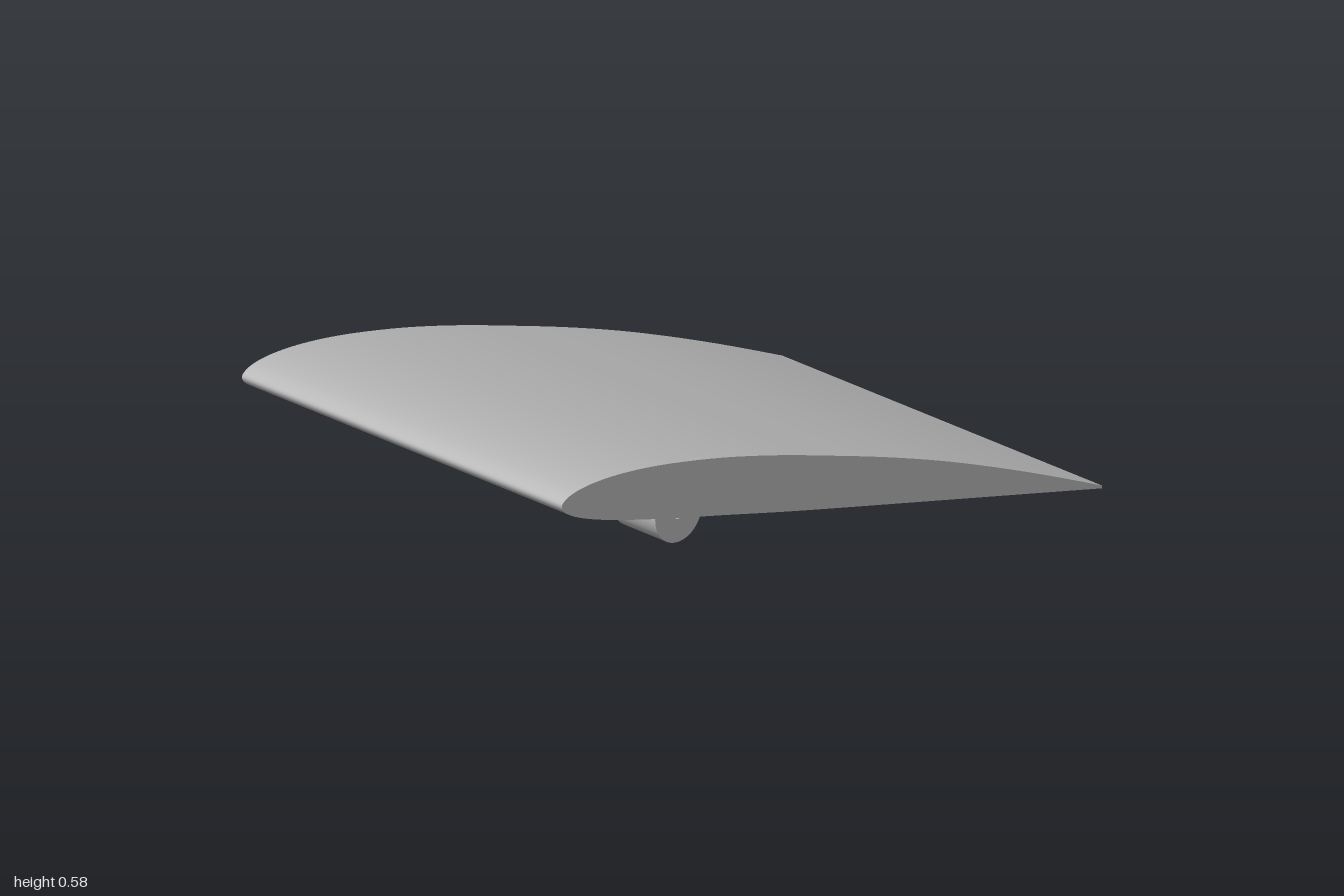
import * as THREE from 'three';
import { toCreasedNormals } from 'three/addons/utils/BufferGeometryUtils.js';

const grey = new THREE.MeshStandardMaterial({ color: 0xb8b8b8 });
grey.name = 'grey';

// Extrudes a shape in the front plane from z0 to z1
function slab(name, shape, z0, z1) {
  const geometry = new THREE.ExtrudeGeometry(shape, { depth: z1 - z0, bevelEnabled: false, curveSegments: 32 });
  geometry.translate(0, 0, z0);
  const mesh = new THREE.Mesh(toCreasedNormals(geometry, 0.6), grey);
  mesh.name = name;
  return mesh;
}

export function createModel() {
  const group = new THREE.Group();
  group.name = 'wingSection';

  // Wing: closed airfoil outline from the trailing edge over the nose and back
  const outline = [
    [1, 0.017], [0.8, 0.105], [0.6, 0.188], [0.4, 0.265], [0.2, 0.334], [0, 0.397],
    [-0.2, 0.457], [-0.4, 0.509], [-0.6, 0.55], [-0.75, 0.571], [-0.87, 0.577],
    [-0.95, 0.57], [-0.99, 0.555], [-1, 0.538], [-0.98, 0.515], [-0.92, 0.485],
    [-0.8, 0.445], [-0.6, 0.391], [-0.4, 0.342], [-0.2, 0.292], [0, 0.244],
    [0.4, 0.15], [0.8, 0.056], [1, 0.009],
  ].map(([x, y]) => new THREE.Vector2(x, y));
  const airfoil = new THREE.Shape(new THREE.SplineCurve(outline).getPoints(92));
  group.add(slab('wing', airfoil, -0.617, 0.617));

  // Pivot tube with a through hole
  const tube = new THREE.Shape().absarc(-0.054, 0.087, 0.087, 0, Math.PI * 2);
  tube.holes.push(new THREE.Path().absarc(-0.054, 0.087, 0.02, 0, Math.PI * 2, true));
  group.add(slab('pivotTube', tube, -0.082, 0.082));

  // Leaning strut between the tube and the wing underside
  const strut = new THREE.Shape([
    [-0.083, 0.14], [-0.003, 0.12], [0.032, 0.245], [-0.046, 0.264],
  ].map(([x, y]) => new THREE.Vector2(x, y)));
  group.add(slab('strut', strut, -0.07, 0.05));

  return group;
}
